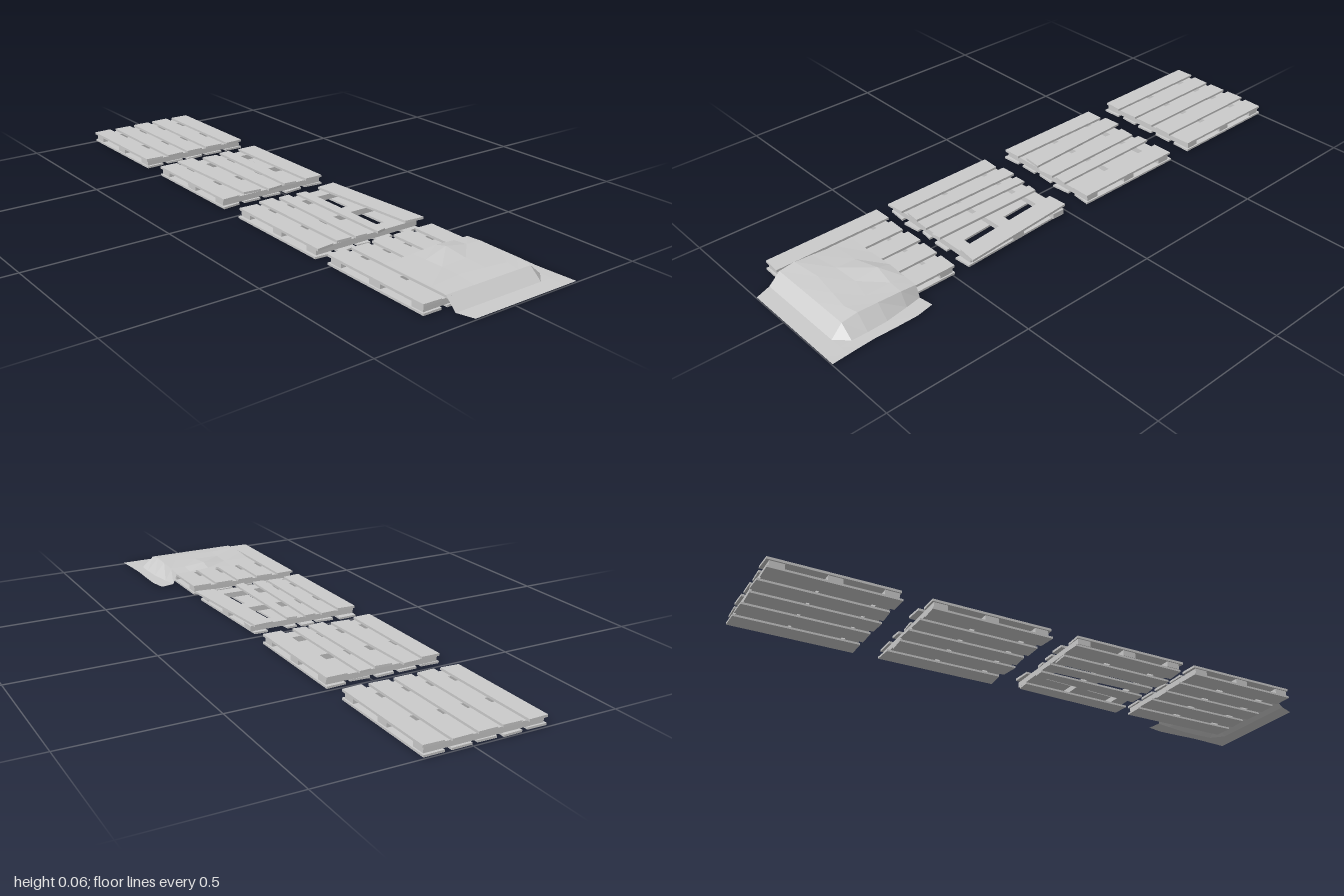
import * as THREE from 'three';

const grey = new THREE.MeshStandardMaterial({ color: 0xcccccc, flatShading: true });
const cloth = new THREE.MeshStandardMaterial({ color: 0xcccccc, flatShading: true, side: THREE.DoubleSide });

// Plank lying flat: back edge xa0..xa1 at za, front edge xb0..xb1 at zb
function plank(name, [xa0, xa1, xb0, xb1], za, zb, y, t, skew = 0) {
  const s = new THREE.Shape();
  s.moveTo(xa0, -za);
  s.lineTo(xb0, -zb - skew);
  s.lineTo(xb1, -zb + skew);
  s.lineTo(xa1, -za - skew);
  s.closePath();
  const g = new THREE.ExtrudeGeometry(s, { depth: t, bevelEnabled: false });
  g.rotateX(-Math.PI / 2);
  g.translate(0, y, 0);
  const m = new THREE.Mesh(g, grey);
  m.name = name;
  return m;
}

const LANES = [[-0.25, -0.185], [-0.163, -0.1], [-0.08, -0.017], [0.003, 0.07], [0.092, 0.16]];
const straight = LANES.map(([a, b]) => [a, b, a, b]);

// Pallet: three cross stringers between top and bottom deck boards
function pallet(name, z0, { top = straight, bottom = straight, wear = 0.002, stick = [], y = 0.004 } = {}) {
  const p = new THREE.Group();
  p.name = name;
  const len = 0.415;
  [0.008, 0.183, 0.36].forEach((z) => {
    const g = new THREE.BoxGeometry(0.4, 0.019, 0.047);
    g.translate(-0.045, 0.0205, z0 + z + 0.0235);
    const m = new THREE.Mesh(g, grey);
    m.name = 'stringer';
    p.add(m);
  });
  const deck = (lanes, label, yy, t, sign) => lanes.forEach((lane, i) => {
    if (!lane) return;
    const w = wear * Math.sin(i * 2.4 + z0 * 9 + sign);
    const s = sign > 0 ? stick[i] || 0 : 0;
    p.add(plank(label, lane, z0 + w - s, z0 + len + w - s, yy, t, w));
  });
  deck(top, 'topBoard', 0.03, 0.008, 1);
  deck(bottom, 'bottomBoard', y, 0.007, -1);
  return p;
}

// Draped sheet: flat-ish top, sloping front and right side, hem on the ground
function tarp() {
  const zs = [0.645, 0.7, 0.78, 0.85, 0.905, 0.945, 1.0];
  const left = [-0.165, -0.165, -0.17, -0.17, -0.17, -0.17, -0.15];
  const edge = [0.165, 0.165, 0.162, 0.16, 0.16, 0.163, 0.165];
  const foot = [0.18, 0.19, 0.203, 0.205, 0.204, 0.203, 0.205];
  const hem = [0.23, 0.242, 0.242, 0.24, 0.243, 0.246, 0.25];
  const heights = [
    [0.041, 0.043, 0.049, 0.045, 0.045],
    [0.043, 0.047, 0.06, 0.05, 0.049],
    [0.046, 0.049, 0.051, 0.05, 0.05],
    [0.05, 0.049, 0.05, 0.05, 0.051],
    [0.043, 0.043, 0.043, 0.043, 0.043],
  ];
  const pos = [], idx = [];
  zs.forEach((z, r) => {
    const xs = [left[r], -0.06, 0.035, 0.11, edge[r], foot[r], hem[r]];
    xs.forEach((x, c) => {
      const y = r > 4 || c > 4 ? 0.0055 - (c === 6 || r === 6 ? 0.001 : 0) : heights[r][c];
      // cross folds ripple slightly along the top
      const ripple = r > 0 && r < 4 && c < 4 ? 0.012 * Math.sin(c * 1.7 + r) : 0;
      pos.push(x, y, z + ripple - (r === 0 && c === 6 ? 0.008 : 0));
      if (r < zs.length - 1 && c < 6) {
        const a = r * 7 + c;
        idx.push(a, a + 7, a + 1, a + 1, a + 7, a + 8);
      }
    });
  });
  const g = new THREE.BufferGeometry();
  g.setAttribute('position', new THREE.Float32BufferAttribute(pos, 3));
  g.setIndex(idx);
  g.computeVertexNormals();
  const m = new THREE.Mesh(g, cloth);
  m.name = 'tarp';
  return m;
}

export function createModel() {
  const model = new THREE.Group();
  model.name = 'palletRow';
  model.add(pallet('intactPallet', -0.998));

  // Worn pallet with crooked boards and one split board
  const worn = pallet('wornPallet', -0.488, {
    wear: 0.004,
    stick: [0, 0.008, 0, 0, 0],
    top: [straight[0], [-0.172, -0.108, -0.158, -0.092], [-0.075, -0.017, -0.07, -0.01],
      [0.003, 0.045, 0.003, 0.05], [0.085, 0.158, 0.092, 0.16]],
  });
  model.add(worn);

  // Broken pallet: a top board missing, the outer one splayed
  model.add(pallet('brokenPallet', 0.022, {
    wear: 0.004,
    stick: [0, 0.006, 0, 0, 0],
    y: 0,
    top: [straight[0], [-0.165, -0.11, -0.165, -0.112], [-0.09, -0.05, -0.098, -0.055],
      [-0.02, 0.016, -0.018, 0.016], [0.075, 0.145, 0.108, 0.178]],
    bottom: [straight[0], straight[1], [-0.085, -0.035, -0.085, -0.04],
      [-0.018, 0.018, -0.012, 0.048], [0.092, 0.14, 0.098, 0.158]],
  }));

  model.add(pallet('coveredPallet', 0.492));
  model.add(tarp());
  return model;
}
